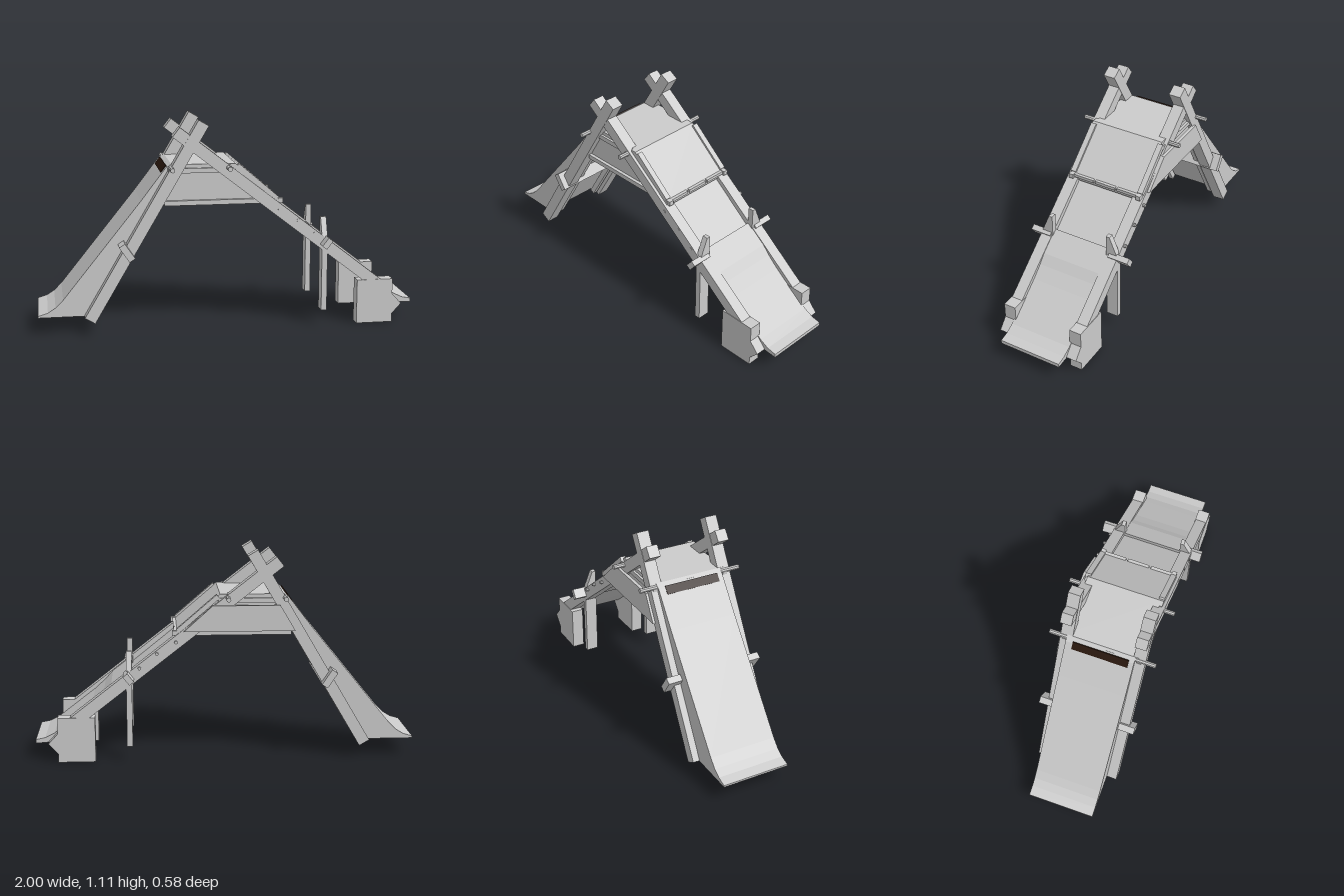
import * as THREE from 'three';

const grey = new THREE.MeshStandardMaterial({ color: 0xcccccc, flatShading: true, side: THREE.DoubleSide });
const dark = new THREE.MeshStandardMaterial({ color: 0x2a180e, flatShading: true });

export function createModel() {
  const model = new THREE.Group();

  const add = (name, geometry, material = grey) => {
    const mesh = new THREE.Mesh(geometry, material);
    mesh.name = name;
    model.add(mesh);
    return mesh;
  };

  // Box with given centre, size and tilt in the side plane
  const box = (name, [x, y, z], size, tilt = 0, material = grey) => {
    const mesh = add(name, new THREE.BoxGeometry(...size), material);
    mesh.position.set(x, y, z);
    mesh.rotation.z = tilt;
    return mesh;
  };

  // Square timber between two points of the side plane
  const beam = (name, a, b, width, z, depth) => {
    const dx = b[0] - a[0], dy = b[1] - a[1];
    return box(name, [(a[0] + b[0]) / 2, (a[1] + b[1]) / 2, z],
      [Math.hypot(dx, dy), width, depth], Math.atan2(dy, dx));
  };

  // Side profile extruded across the width
  const prism = (name, points, z0, z1) => {
    const shape = new THREE.Shape(points.map(p => new THREE.Vector2(...p)));
    const geometry = new THREE.ExtrudeGeometry(shape, { depth: z1 - z0, bevelEnabled: false });
    return add(name, geometry.translate(0, 0, z0));
  };

  // Round peg running across the width
  const peg = (name, [x, y, z], radius, length) => {
    const mesh = add(name, new THREE.CylinderGeometry(radius, radius, length, 8));
    mesh.rotation.x = Math.PI / 2;
    mesh.position.set(x, y, z);
  };

  // Climbing ramp: solid wedge with a flared foot
  prism('climbingRamp', [
    [-1, 0.09], [-0.76, 0.09], [-0.39, 0.7], [-0.30, 0.85], [-0.30, 0.88], [-0.33, 0.86],
    [-0.46, 0.69], [-0.87, 0.18], [-0.91, 0.14], [-0.95, 0.115], [-1, 0.1],
  ], -0.188, 0.178);
  box('rampSlot', [-0.335, 0.848, 0], [0.045, 0.012, 0.3], 0.92, dark);

  // Bridge body with deck, planks beneath and an outer board on the back
  prism('bridgeBody', [
    [-0.34, 0.69], [0.24, 0.69], [0.02, 0.865], [-0.30, 0.865], [-0.39, 0.72],
  ], -0.195, 0.195);
  prism('bridgeDeck', [[-0.31, 0.85], [0.03, 0.85], [0.03, 0.88], [-0.30, 0.88]], -0.2, 0.2);
  for (const z of [-0.13, 0, 0.13])
    box('undersidePlank', [-0.03, 0.682, z], [0.6, 0.016, 0.118]);
  prism('bridgeBackBoard', [[-0.36, 0.69], [0.22, 0.69], [0.07, 0.825], [-0.28, 0.825]], -0.236, -0.218);

  // Slide: raised upper panel, sunken middle, curved lower panel with lip
  prism('upperSlidePanel', [[0, 0.85], [0.26, 0.655], [0.265, 0.68], [0.03, 0.88], [0, 0.88]], -0.2, 0.215);
  prism('middleSlidePanel', [[0.24, 0.655], [0.52, 0.43], [0.52, 0.415], [0.24, 0.64]], -0.17, 0.175);
  prism('lowerSlidePanel', [
    [0.49, 0.485], [0.60, 0.40], [0.64, 0.355], [0.70, 0.30], [0.85, 0.185],
    [0.90, 0.145], [0.95, 0.12], [1, 0.11], [1, 0.09], [0.93, 0.095],
    [0.87, 0.13], [0.70, 0.265], [0.49, 0.45],
  ], -0.168, 0.178);

  for (const side of [-1, 1]) {
    const z = side > 0 ? 0.2 : -0.191;

    // Crossed main timbers
    beam('rampBeam', [-0.735, 0.078], [-0.138, 1.095], 0.061, z, 0.065);
    beam('slideBeam', [-0.28, 1.05], [0.85, 0.171], 0.062, z, 0.061);
    beam('rampInnerRail', [-0.72, 0.1], [-0.35, 0.73], 0.03, side * 0.13, 0.025);

    // Bridge side rails
    box('lowerSideRail', [-0.03, 0.68, side * 0.2], [0.62, 0.025, 0.025]);
    box('upperSideRail', [-0.14, 0.848, side * 0.2], [0.36, 0.025, 0.025]);
    beam('slideEdgeRail', [0.04, 0.87], [0.25, 0.69], 0.025, side * 0.2, 0.03);

    // Foot block at the slide end
    prism('footBlock', [
      [0.685, 0], [0.88, 0], [0.88, 0.045], [0.93, 0.1], [0.88, 0.155], [0.88, 0.238], [0.685, 0.238],
    ], z - 0.033, z + 0.033);

    // Post with a slanted top, drawn across the depth
    const post = prism('slidePost', [
      [-0.035, 0.08], [0.03, 0.08], [0.03, 0.47], [-0.015, 0.58], [-0.035, 0.58],
    ], -0.015, 0.015);
    post.rotation.y = side > 0 ? -Math.PI / 2 : Math.PI / 2;
    post.position.set(0.505, 0, z);
    box('postBracket', [0.507, 0.455, side * 0.23], [0.03, 0.055, 0.115], -0.66);

    // Bolts on the slide timbers
    for (const [x, y] of [[0.26, 0.635], [0.36, 0.575], [0.45, 0.5]])
      peg('bolt', [x, y, side > 0 ? 0.224 : -0.226], 0.009, 0.02);
  }

  // Cross bars through the frame
  box('rampCrossBar', [-0.54, 0.438, 0], [0.095, 0.036, 0.53], -0.98);
  for (const x of [-0.305, -0.01]) peg('deckCrossBar', [x, 0.862, 0.003], 0.0125, 0.57);

  return model;
}
